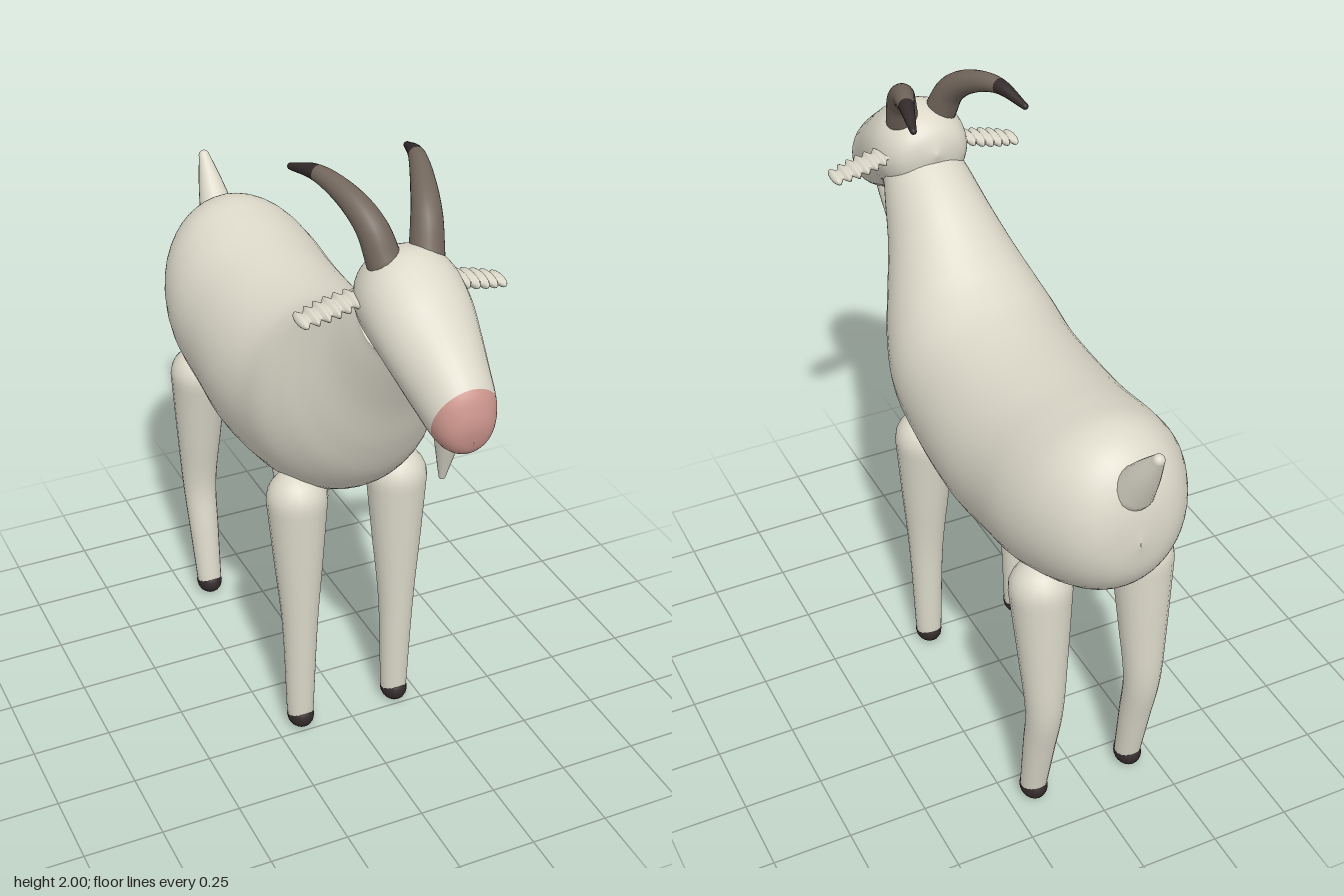
import * as THREE from 'three';

const V = (x, y, z) => new THREE.Vector3(x, y, z);
const mat = (name, color) => {
  const m = new THREE.MeshStandardMaterial({ color });
  m.name = name;
  return m;
};

// Skin a list of rings {c, u, v}; u x v points along the loft
function skin(rings, sides, splitRing) {
  const pos = [], idx = [];
  for (const { c, u, v } of rings) {
    for (let j = 0; j < sides; j++) {
      const a = (j / sides) * Math.PI * 2;
      const p = c.clone().addScaledVector(u, Math.cos(a)).addScaledVector(v, Math.sin(a));
      pos.push(p.x, p.y, p.z);
    }
  }
  for (let i = 0; i < rings.length - 1; i++) {
    for (let j = 0; j < sides; j++) {
      const k = (j + 1) % sides;
      const a = i * sides + j, b = i * sides + k;
      idx.push(a, b, a + sides, b, b + sides, a + sides);
    }
  }
  const g = new THREE.BufferGeometry();
  g.setAttribute('position', new THREE.Float32BufferAttribute(pos, 3));
  g.setIndex(idx);
  g.computeVertexNormals();
  if (splitRing) {
    const n = splitRing * sides * 6;
    g.addGroup(0, n, 0);
    g.addGroup(n, idx.length - n, 1);
  }
  return g;
}

// Symmetric loft from sections [topZ, topY, bottomZ, bottomY, halfWidth]
function profileLoft(sections, steps, sides, splitSection) {
  const top = new THREE.CatmullRomCurve3(sections.map(s => V(s[4], s[1], s[0])), false, 'catmullrom', 0.5);
  const bot = new THREE.CatmullRomCurve3(sections.map(s => V(s[4], s[3], s[2])), false, 'catmullrom', 0.5);
  const n = (sections.length - 1) * steps, rings = [];
  for (let i = 0; i <= n; i++) {
    const t = top.getPoint(i / n), b = bot.getPoint(i / n);
    const w = Math.max(t.x, 0.0005);
    t.x = b.x = 0;
    rings.push({
      c: t.clone().add(b).multiplyScalar(0.5),
      u: V(w, 0, 0),
      v: t.clone().sub(b).multiplyScalar(0.5),
    });
  }
  return skin(rings, sides, splitSection && splitSection * steps);
}

// Tapered round-ended limb along points [x, y, z, radius]
function limb(points, { ref = V(1, 0, 0), flat = 1, steps = 8, sides = 20, split = 0 } = {}) {
  const path = new THREE.CatmullRomCurve3(points.map(p => V(p[0], p[1], p[2])), false, 'catmullrom', 0.5);
  const rad = new THREE.CatmullRomCurve3(points.map(p => V(p[3], 0, 0)), false, 'catmullrom', 0.5);
  const n = (points.length - 1) * steps, dome = 6, rings = [];
  const add = (t, lift, scale) => {
    const d = path.getTangent(t), r = rad.getPoint(t).x;
    const u = ref.clone().addScaledVector(d, -ref.dot(d)).normalize();
    const v = d.clone().cross(u);
    rings.push({
      c: path.getPoint(t).addScaledVector(d, lift * r * flat),
      u: u.multiplyScalar(r * scale),
      v: v.multiplyScalar(r * scale * flat),
    });
  };
  for (let k = 0; k < dome; k++) {
    const a = (1 - k / dome) * Math.PI / 2;
    add(0, -Math.sin(a), Math.max(Math.cos(a), 0.01));
  }
  for (let i = 0; i <= n; i++) add(i / n, 0, 1);
  for (let k = 1; k <= dome; k++) {
    const a = (k / dome) * Math.PI / 2;
    add(1, Math.sin(a), Math.max(Math.cos(a), 0.01));
  }
  return skin(rings, sides, split && dome + Math.round(split * n));
}

export function createModel() {
  const coat = mat('coat', 0xdcd9ca);
  const muzzlePink = mat('muzzle pink', 0xcc968d);
  const hornBrown = mat('horn brown', 0x72665c);
  const dark = mat('dark hoof', 0x332a2b);

  const model = new THREE.Group();
  model.name = 'goat';
  const put = (name, geometry, material) => {
    const m = new THREE.Mesh(geometry, material);
    m.name = name;
    model.add(m);
    return m;
  };

  // Body and neck, from rump to throat
  put('body', profileLoft([
    [-0.88, 1.18, -0.88, 1.165, 0],
    [-0.865, 1.29, -0.862, 1.06, 0.1],
    [-0.83, 1.375, -0.82, 0.985, 0.165],
    [-0.77, 1.435, -0.75, 0.925, 0.215],
    [-0.68, 1.46, -0.65, 0.88, 0.257],
    [-0.56, 1.445, -0.54, 0.845, 0.28],
    [-0.4, 1.42, -0.38, 0.815, 0.282],
    [-0.2, 1.405, -0.2, 0.795, 0.29],
    [-0.03, 1.415, 0.06, 0.825, 0.286],
    [0.08, 1.45, 0.25, 0.895, 0.28],
    [0.16, 1.5, 0.38, 1.01, 0.25],
    [0.24, 1.56, 0.46, 1.15, 0.21],
    [0.33, 1.63, 0.53, 1.32, 0.168],
    [0.435, 1.695, 0.625, 1.51, 0.132],
    [0.47, 1.7, 0.635, 1.54, 0.115],
    [0.56, 1.63, 0.57, 1.62, 0],
  ], 5, 40), coat);

  // Head with a pink muzzle
  put('head', profileLoft([
    [0.43, 1.725, 0.43, 1.715, 0],
    [0.458, 1.79, 0.455, 1.63, 0.095],
    [0.515, 1.83, 0.5, 1.57, 0.135],
    [0.595, 1.84, 0.56, 1.545, 0.15],
    [0.69, 1.795, 0.63, 1.525, 0.147],
    [0.775, 1.735, 0.705, 1.487, 0.132],
    [0.865, 1.67, 0.785, 1.44, 0.112],
    [0.938, 1.605, 0.865, 1.405, 0.094],
    [0.962, 1.55, 0.915, 1.403, 0.072],
    [0.968, 1.505, 0.945, 1.42, 0.042],
    [0.962, 1.46, 0.96, 1.452, 0],
  ], 5, 32, 7), [coat, muzzlePink]);

  put('beard', limb([
    [0, 1.45, 0.83, 0.045], [0, 1.38, 0.815, 0.034], [0, 1.26, 0.796, 0.01],
  ]), coat);

  put('tail', limb([
    [0, 1.33, -0.825, 0.062], [0, 1.42, -0.885, 0.042], [0, 1.505, -0.942, 0.018],
  ]), coat);

  for (const [side, s] of [['left', 1], ['right', -1]]) {
    // Swept-back horn with a dark tip
    put(side + 'Horn', limb([
      [0.062 * s, 1.8, 0.55, 0.05],
      [0.082 * s, 1.89, 0.505, 0.044],
      [0.112 * s, 1.95, 0.42, 0.035],
      [0.148 * s, 1.977, 0.31, 0.024],
      [0.177 * s, 1.956, 0.195, 0.01],
    ], { split: 0.75 }), [hornBrown, dark]);

    // Flat ribbed ear
    const ear = [];
    for (let i = 0; i <= 24; i++) {
      const t = i / 24;
      const width = 0.036 + 0.012 * Math.sin(Math.PI * t);
      ear.push([(0.12 + 0.175 * t) * s, 1.71 - 0.04 * t, 0.53,
        width + 0.011 * Math.cos(t * Math.PI * 12)]);
    }
    put(side + 'Ear', limb(ear, { ref: V(0, 0, 1), flat: 0.34, steps: 3 }), coat);

    // Legs and hooves
    const x = 0.167 * s;
    put(side + 'FrontLeg', limb([
      [x, 0.87, 0.197, 0.095], [x, 0.65, 0.205, 0.077],
      [x, 0.4, 0.213, 0.056], [x, 0.06, 0.21, 0.043],
    ]), coat);
    put(side + 'BackLeg', limb([
      [x, 0.88, -0.615, 0.095], [x, 0.65, -0.637, 0.076],
      [x, 0.43, -0.652, 0.058], [x, 0.25, -0.623, 0.05], [x, 0.06, -0.59, 0.042],
    ]), coat);
    for (const [end, z] of [['Front', 0.212], ['Back', -0.59]]) {
      const hoof = put(side + end + 'Hoof', new THREE.SphereGeometry(0.05, 16, 10), dark);
      hoof.scale.set(0.86, 0.9, 1);
      hoof.position.set(x, 0.045, z);
    }
  }
  return model;
}
